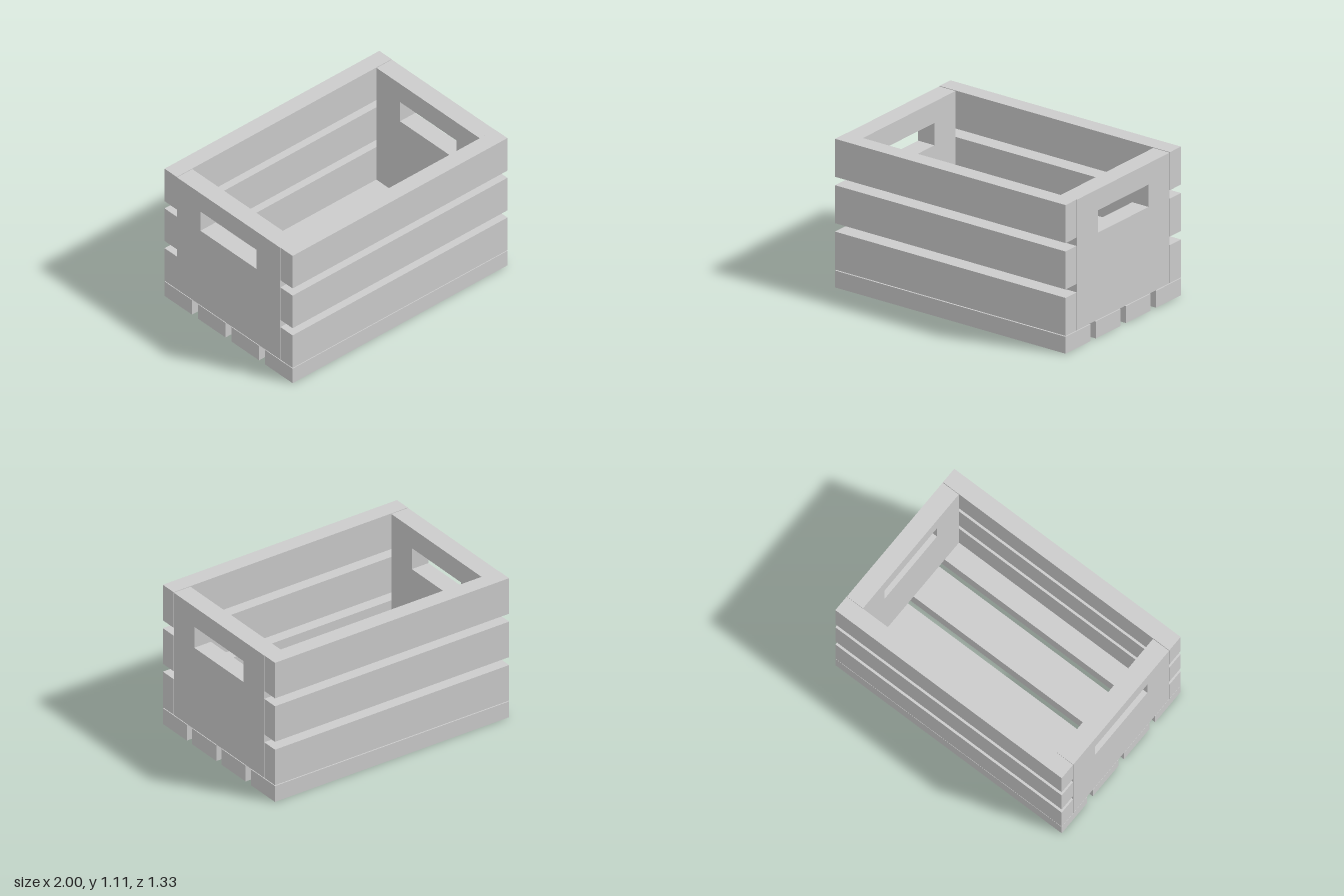
import * as THREE from 'three';

const LENGTH = 2;
const SLAT_HEIGHT = 0.285;
const SLAT_PITCH = 0.348;

export function createModel() {
  const crate = new THREE.Group();
  crate.name = 'crate';
  const wood = new THREE.MeshStandardMaterial({ color: 0xcccccc, flatShading: true });

  const add = (name, geometry, x, y, z) => {
    const mesh = new THREE.Mesh(geometry, wood);
    mesh.name = name;
    mesh.position.set(x, y, z);
    crate.add(mesh);
    return mesh;
  };

  // Four floor slats running the full length
  const floorSlat = new THREE.BoxGeometry(LENGTH, 0.127, SLAT_HEIGHT);
  for (let i = 0; i < 4; i++) add('floorSlat', floorSlat, 0, 0.0635, (i - 1.5) * SLAT_PITCH);

  // Three slats on the front and three on the back
  const sideSlat = new THREE.BoxGeometry(LENGTH, SLAT_HEIGHT, 0.127);
  for (const side of [1, -1]) {
    for (let i = 0; i < 3; i++) {
      add(side > 0 ? 'frontSlat' : 'backSlat', sideSlat, 0, 0.276 + i * SLAT_PITCH, side * 0.601);
    }
  }

  // Solid end panels with a rectangular hand hole, drawn in z and y
  const rectangle = (path, z0, y0, z1, y1) =>
    path.moveTo(z0, y0).lineTo(z1, y0).lineTo(z1, y1).lineTo(z0, y1).closePath();
  const outline = rectangle(new THREE.Shape(), -0.535, 0.133, 0.535, 1.112);
  outline.holes.push(rectangle(new THREE.Path(), -0.292, 0.785, 0.292, 0.953));
  const thickness = 0.142;
  const panel = new THREE.ExtrudeGeometry(outline, { depth: thickness, bevelEnabled: false });
  panel.translate(0, 0, -thickness / 2);
  panel.rotateY(-Math.PI / 2);
  for (const side of [1, -1]) {
    add(side > 0 ? 'leftEndPanel' : 'rightEndPanel', panel, side * (LENGTH - thickness) / 2, 0, 0);
  }

  return crate;
}
